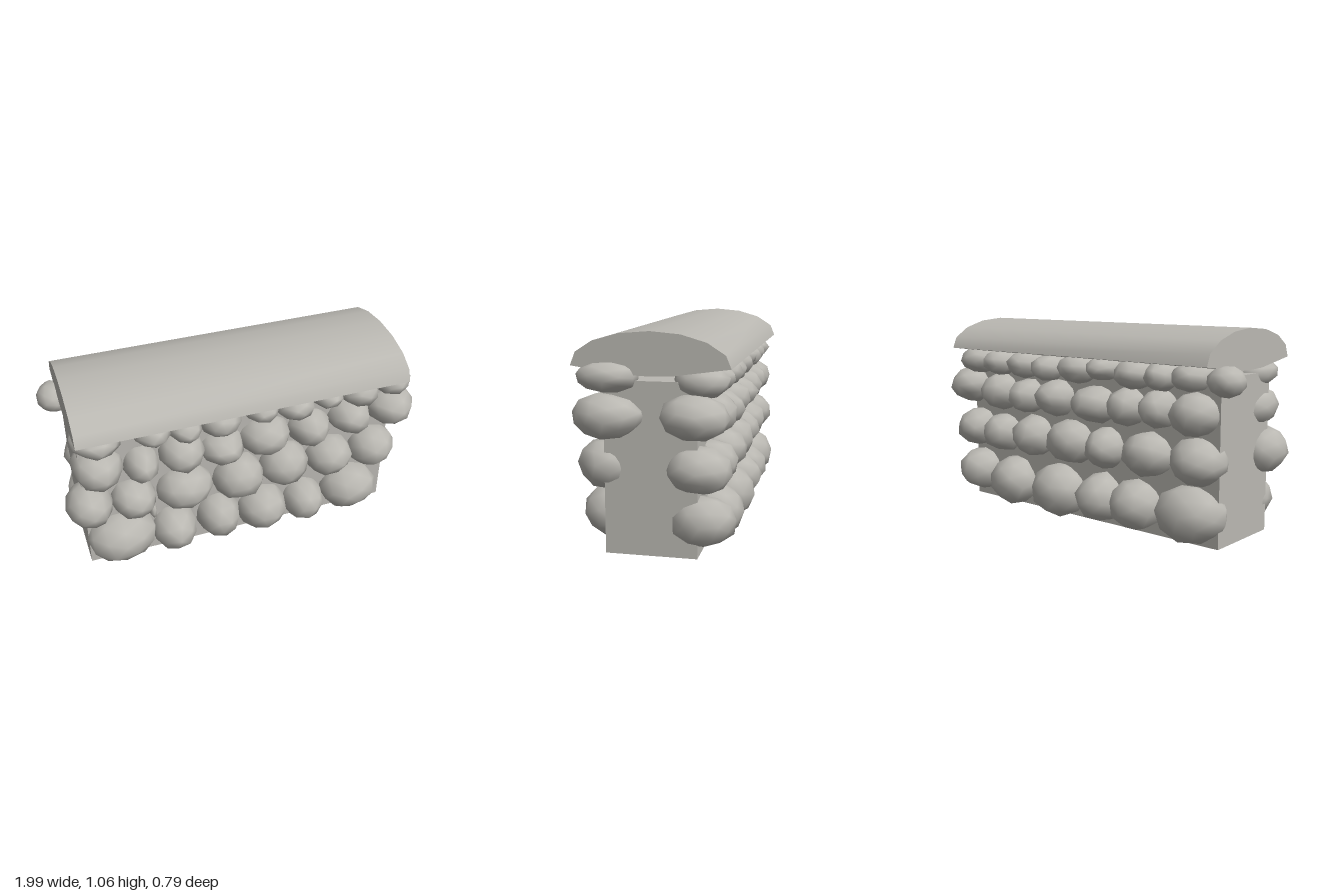
import * as THREE from 'three';
import { mergeVertices, toCreasedNormals } from 'three/addons/utils/BufferGeometryUtils.js';

const stone = new THREE.MeshStandardMaterial({ color: 0xbab8b2 });
stone.name = 'grey stone';

// Small seeded generator for the uneven stones
let seed = 7;
const rand = () => {
  seed = (seed * 16807) % 2147483647;
  return seed / 2147483647;
};

// Each row: z centre, z radius, then stones as [x, y, x radius, y radius, own z radius if it differs]
const frontRows = [
  [0.23, 0.162, [[-0.70, 0.18, 0.19, 0.14], [-0.41, 0.16, 0.125, 0.125], [-0.16, 0.18, 0.12, 0.125],
    [0.10, 0.16, 0.14, 0.13], [0.35, 0.15, 0.12, 0.12], [0.63, 0.17, 0.165, 0.135]]],
  [0.234, 0.146, [[-0.85, 0.435, 0.12, 0.115], [-0.62, 0.43, 0.12, 0.11], [-0.535, 0.365, 0.025, 0.05, 0.12],
    [-0.34, 0.43, 0.155, 0.12], [-0.04, 0.42, 0.14, 0.13], [0.22, 0.44, 0.14, 0.13],
    [0.49, 0.43, 0.135, 0.115], [0.75, 0.43, 0.135, 0.12]]],
  [0.207, 0.165, [[-0.785, 0.66, 0.13, 0.11], [-0.565, 0.64, 0.095, 0.095], [-0.35, 0.66, 0.125, 0.11],
    [-0.13, 0.64, 0.12, 0.09], [0.11, 0.65, 0.14, 0.115], [0.36, 0.65, 0.12, 0.105],
    [0.60, 0.67, 0.12, 0.10], [0.85, 0.675, 0.135, 0.105]]],
  [0.21, 0.15, [[-0.78, 0.835, 0.13, 0.078], [-0.50, 0.835, 0.10, 0.082], [-0.33, 0.82, 0.092, 0.075],
    [-0.14, 0.815, 0.112, 0.09], [0.08, 0.845, 0.102, 0.075], [0.27, 0.82, 0.11, 0.078],
    [0.45, 0.845, 0.092, 0.065], [0.64, 0.825, 0.112, 0.083], [0.83, 0.855, 0.11, 0.075]]],
];
const backRows = [
  [-0.225, 0.158, [[0.78, 0.18, 0.13, 0.12], [0.50, 0.15, 0.15, 0.14], [0.14, 0.15, 0.175, 0.145],
    [-0.16, 0.16, 0.13, 0.13], [-0.395, 0.16, 0.145, 0.13], [-0.725, 0.17, 0.185, 0.14]]],
  [-0.212, 0.154, [[0.81, 0.43, 0.13, 0.11], [0.59, 0.42, 0.12, 0.11], [0.34, 0.43, 0.13, 0.115],
    [0.055, 0.43, 0.15, 0.12], [-0.19, 0.43, 0.11, 0.11], [-0.465, 0.43, 0.14, 0.115], [-0.76, 0.43, 0.14, 0.12]]],
  [-0.202, 0.16, [[0.86, 0.68, 0.13, 0.105], [0.61, 0.66, 0.125, 0.11], [0.385, 0.65, 0.11, 0.10],
    [0.165, 0.66, 0.12, 0.10], [-0.11, 0.65, 0.14, 0.10], [-0.335, 0.66, 0.11, 0.10],
    [-0.535, 0.67, 0.10, 0.10], [-0.745, 0.66, 0.13, 0.11]]],
  [-0.22, 0.13, [[0.78, 0.835, 0.115, 0.078], [0.60, 0.83, 0.10, 0.073], [0.40, 0.83, 0.10, 0.078],
    [0.22, 0.82, 0.09, 0.073], [0.00, 0.83, 0.12, 0.078], [-0.18, 0.845, 0.083, 0.065],
    [-0.38, 0.83, 0.11, 0.078], [-0.55, 0.83, 0.083, 0.073], [-0.73, 0.84, 0.10, 0.073],
    [-0.91, 0.83, 0.09, 0.073, 0.1]]],
];

// A rounded boulder with uneven vertices and smooth normals
function boulder(rx, ry, rz) {
  let g = new THREE.IcosahedronGeometry(1, 1);
  g.deleteAttribute('uv');
  g.deleteAttribute('normal');
  g = mergeVertices(g, 1e-3);
  g.rotateZ(rand() * 6).rotateX(rand() * 6);
  const p = g.attributes.position;
  for (let i = 0; i < p.count; i++) {
    const k = 0.98 + rand() * 0.09;
    p.setXYZ(i, p.getX(i) * k * rx, p.getY(i) * k * ry, p.getZ(i) * k * rz);
  }
  g.computeVertexNormals();
  return g;
}

function stoneFace(name, rows) {
  const face = new THREE.Group();
  face.name = name;
  rows.forEach(([z, rowDepth, stones], r) => {
    for (const [x, y, rx, ry, rz = rowDepth] of stones) {
      const m = new THREE.Mesh(boulder(rx, ry, rz), stone);
      m.name = `row${r + 1}Stone`;
      m.position.set(x, y, z);
      face.add(m);
    }
  });
  return face;
}

export function createModel() {
  seed = 7;
  const wall = new THREE.Group();
  wall.name = 'stoneWall';

  // Plain core between the two stone faces
  const core = new THREE.Mesh(new THREE.BoxGeometry(1.73, 0.825, 0.44), stone);
  core.name = 'wallCore';
  core.position.set(-0.013, 0.4275, 0.005);
  wall.add(core);

  wall.add(stoneFace('frontStones', frontRows), stoneFace('backStones', backRows));

  // Domed coping: section in (-z, y), extruded along x
  const section = new THREE.Shape([
    [-0.375, 0.905], [-0.12, 0.868], [0, 0.864], [0.1, 0.867], [0.37, 0.905], [0.345, 0.965], [0.26, 1.02],
    [0.14, 1.055], [0, 1.067], [-0.145, 1.055], [-0.27, 1.02], [-0.35, 0.968],
  ].map(([u, y]) => new THREE.Vector2(u, y)));
  const capGeo = new THREE.ExtrudeGeometry(section, { depth: 1.765, bevelEnabled: false });
  capGeo.rotateY(Math.PI / 2).translate(-0.897, 0, 0);
  const cap = new THREE.Mesh(toCreasedNormals(capGeo, 0.75), stone);
  cap.name = 'coping';
  wall.add(cap);

  return wall;
}
